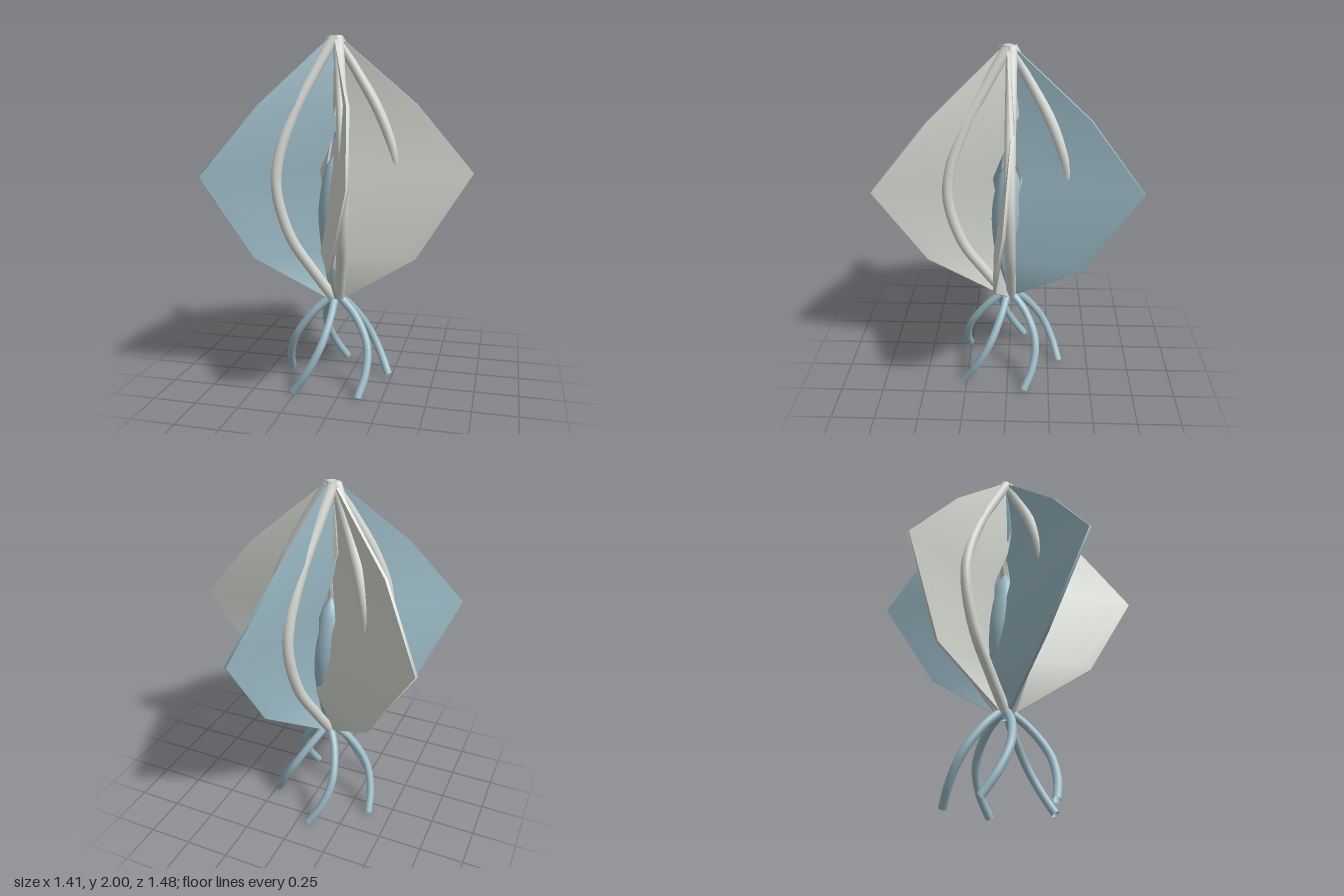
import * as THREE from 'three';

const AXIS_X = -0.07;
const grey = new THREE.MeshStandardMaterial({ color: 0xd6d9d2, side: THREE.DoubleSide });
grey.name = 'pale grey';
const blue = new THREE.MeshStandardMaterial({ color: 0x9bbac6, side: THREE.DoubleSide });
blue.name = 'soft blue';

// Fin cross-sections from bottom to top: height, inner radius, outer radius,
// inner sideways shift, outer sideways shift
const finRows = [
  [0.5, -0.01, 0.04, 0, 0],
  [0.78, -0.01, 0.475, 0.08, 0.06],
  [1.26, 0.09, 0.775, 0.015, -0.006],
  [1.63, -0.05, 0.455, -0.03, -0.034],
  [2.0, -0.01, 0.02, 0, 0],
];

// Thin twisted sheet, made by bending a subdivided box
function finGeometry() {
  const rows = finRows.length - 1;
  const geo = new THREE.BoxGeometry(1, rows, 1, 6, rows, 1);
  const pos = geo.attributes.position;
  for (let i = 0; i < pos.count; i++) {
    const u = pos.getX(i) + 0.5;
    const [y, r0, r1, s0, s1] = finRows[Math.round(pos.getY(i) + rows / 2)];
    const shift = THREE.MathUtils.lerp(s0, s1, u) + pos.getZ(i) * 0.016;
    pos.setXYZ(i, THREE.MathUtils.lerp(r0, r1, u), y, shift);
  }
  geo.computeVertexNormals();
  return geo;
}

function tube(points, radius, segments) {
  const curve = new THREE.CatmullRomCurve3(points.map((p) => new THREE.Vector3(...p)));
  return new THREE.TubeGeometry(curve, segments, radius, 12);
}

function addPart(parent, name, geo, material, angle = 0) {
  const mesh = new THREE.Mesh(geo, material);
  mesh.name = name;
  mesh.rotation.y = -angle;
  parent.add(mesh);
  return mesh;
}

export function createModel() {
  const model = new THREE.Group();
  model.name = 'finnedPod';
  const body = new THREE.Group();
  body.name = 'body';
  body.position.x = AXIS_X;
  model.add(body);

  const fin = finGeometry();

  // Bowed rib that passes through each fin
  const rib = tube(
    [[0.012, 1.985], [0.12, 1.81], [0.25, 1.58], [0.34, 1.34], [0.355, 1.17],
      [0.28, 0.9], [0.14, 0.68], [0.02, 0.51]].map(([r, y]) => [r, y, -0.018]),
    0.03, 40);

  // Curling leg: radius, height, turn in degrees relative to the foot
  const leg = tube(
    [[0.02, 0.52, -40], [0.13, 0.42, -36], [0.235, 0.27, -27], [0.285, 0.13, -14], [0.318, 0.01, 0]]
      .map(([r, y, deg]) => {
        const a = THREE.MathUtils.degToRad(deg);
        return [r * Math.cos(a), y, r * Math.sin(a)];
      }),
    0.023, 28);

  for (let k = 0; k < 5; k++) {
    const a = (k * Math.PI * 2) / 5;
    addPart(body, 'fin', fin, k === 2 || k === 4 ? blue : grey, a);
    addPart(body, 'rib', rib, grey, a);
    addPart(body, 'leg', leg, blue, a + THREE.MathUtils.degToRad(53.5));
  }

  // Central pod with a pointed tip
  const profile = new THREE.SplineCurve(
    [[0.015, 0.47], [0.05, 0.62], [0.088, 0.85], [0.096, 1.05], [0.06, 1.26], [0.001, 1.36]]
      .map(([r, y]) => new THREE.Vector2(r, y)));
  addPart(body, 'pod', new THREE.LatheGeometry(profile.getPoints(20), 20), blue);

  // Small collar joining the fins at the top
  const collar = addPart(body, 'topCollar', new THREE.CylinderGeometry(0.028, 0.034, 0.03, 12), grey);
  collar.position.y = 1.985;

  return model;
}
